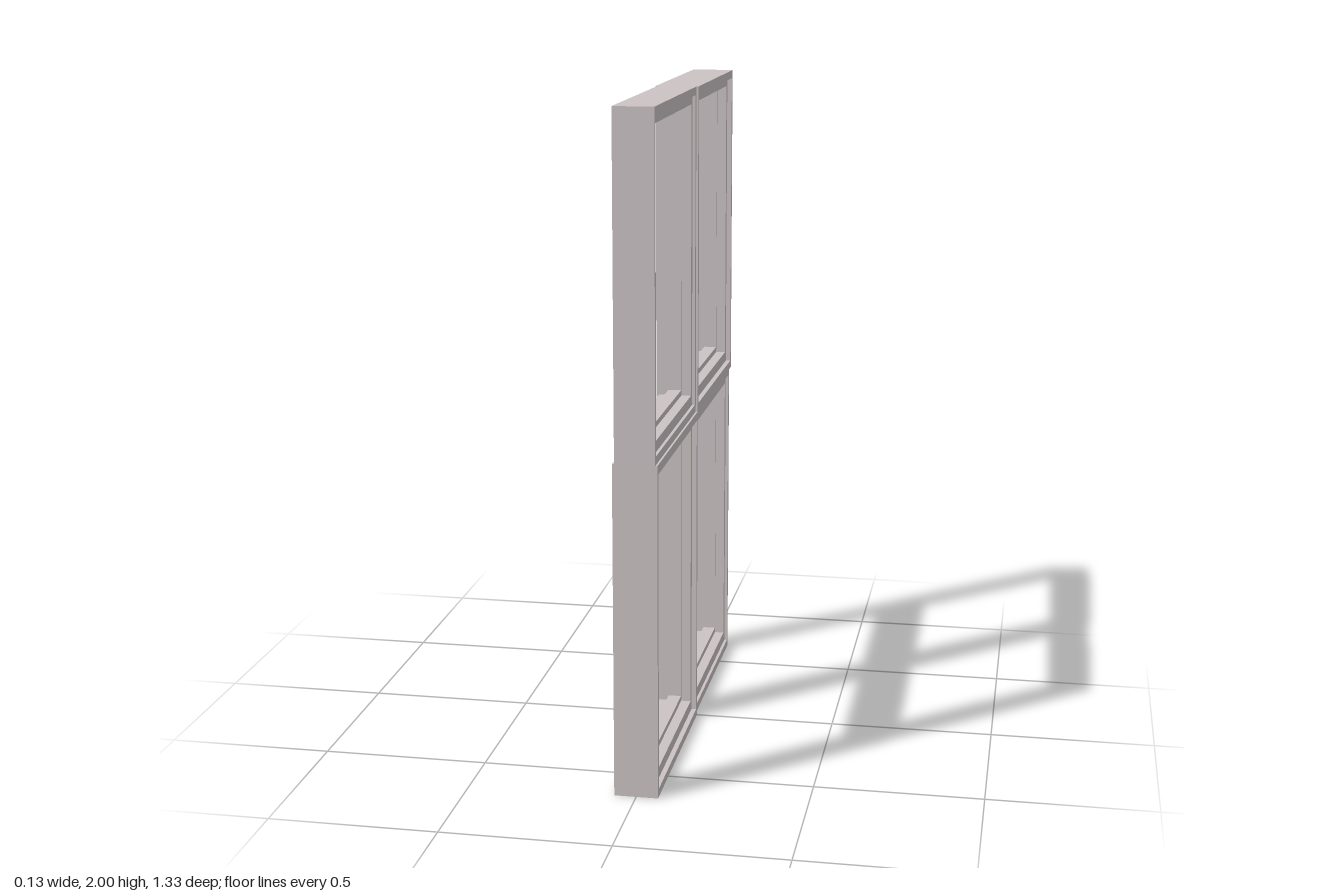
import * as THREE from 'three';

const material = new THREE.MeshStandardMaterial({ color: 0xccc3c5, flatShading: true });

// Frame widths per step: [+z stile, -z stile, bottom rail, top rail]
const EDGE = [0, 0, 0, 0];
const RIM = [0.015, 0.015, 0.025, 0.025];
const RAIL = [0.037, 0.034, 0.058, 0.05];
const STOP = [0.05, 0.038, 0.075, 0.055];

// Stepped profile swept round one rectangular pane opening
function paneFrame(z0, z1, y0, y1, depth) {
  const half = [
    [EDGE, depth], [RIM, depth], [RIM, 0.05],
    [RAIL, 0.05], [RAIL, 0.02], [STOP, 0.02],
  ];
  const profile = [...half, ...half.map(([m, x]) => [m, -x]).reverse()];
  const rings = profile.map(([m, x]) => {
    const za = z1 - m[0], zb = z0 + m[1], ya = y0 + m[2], yb = y1 - m[3];
    return [[x, ya, za], [x, ya, zb], [x, yb, zb], [x, yb, za]];
  });
  const pos = [];
  rings.forEach((ring, j) => {
    const next = rings[(j + 1) % rings.length];
    for (let i = 0; i < 4; i++) {
      const k = (i + 1) % 4;
      const a = ring[i], b = ring[k], c = next[k], d = next[i];
      pos.push(...a, ...b, ...c, ...a, ...c, ...d);
    }
  });
  const geo = new THREE.BufferGeometry();
  geo.setAttribute('position', new THREE.Float32BufferAttribute(pos, 3));
  geo.computeVertexNormals();
  return geo;
}

export function createModel() {
  const group = new THREE.Group();
  group.name = 'windowFrame';
  const W = 0.665;
  // Four panes; diagonal pairs share the same depth
  for (const row of [0, 1]) {
    for (const front of [0, 1]) {
      const depth = row !== front ? 0.065 : 0.059;
      const z0 = front ? 0 : -W;
      const mesh = new THREE.Mesh(paneFrame(z0, z0 + W, row, row + 1, depth), material);
      mesh.name = (row ? 'upper' : 'lower') + (front ? 'Front' : 'Back') + 'PaneFrame';
      group.add(mesh);
    }
  }
  return group;
}
